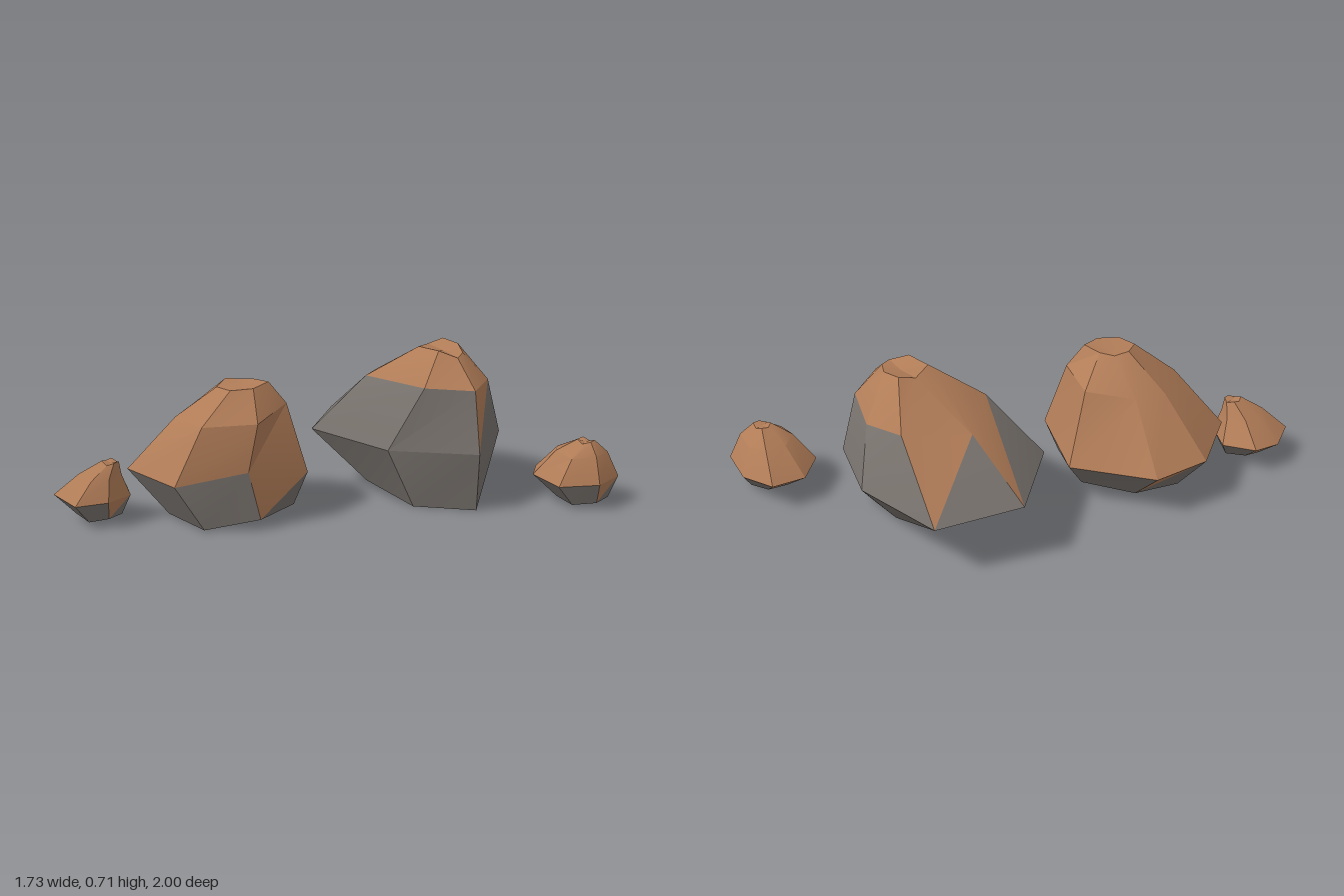
import * as THREE from 'three';
import { toCreasedNormals } from 'three/addons/utils/BufferGeometryUtils.js';

// Each quad between two rings is grey (g), orange (o) or half (h: upper triangle orange).
const LOWER = 'hgghggh', ORANGE = 'ooooooo', GREY = 'ggggggg';

const average = (ring) => [0, 1, 2].map((k) => ring.reduce((s, p) => s + p[k], 0) / ring.length);

// Ring made by shrinking an [x, z] outline towards a point, at height y
const shrink = (outline, [cx, cz], scale, y) =>
  outline.map(([x, z], i) => [cx + (x - cx) * scale, y + 0.008 * Math.sin(i * 2.3), cz + (z - cz) * scale]);

// Faceted rock from four seven-point rings, bottom to top
function makeRock(name, rings, paint, materials, dip) {
  const faces = { g: [], o: [] };
  const add = (colour, ...points) => points.forEach((p) => faces[colour].push(...p));
  const n = rings[0].length;
  const base = average(rings[0]);
  const crown = average(rings[3]);
  crown[1] -= dip;
  for (let i = 0; i < n; i++) {
    const j = (i + 1) % n;
    add('g', base, rings[0][i], rings[0][j]);
    add('o', crown, rings[3][j], rings[3][i]);
    for (let r = 0; r < 3; r++) {
      const [low, up, c] = [rings[r], rings[r + 1], paint[r][i]];
      add(c === 'o' ? 'o' : 'g', low[j], low[i], up[i]);
      add(c === 'g' ? 'g' : 'o', low[j], up[i], up[j]);
    }
  }
  const geometry = new THREE.BufferGeometry();
  geometry.setAttribute('position', new THREE.Float32BufferAttribute([...faces.g, ...faces.o], 3));
  const creased = toCreasedNormals(geometry, 0.4);
  creased.clearGroups();
  creased.addGroup(0, faces.g.length / 3, 0);
  creased.addGroup(faces.g.length / 3, faces.o.length / 3, 1);
  const mesh = new THREE.Mesh(creased, materials);
  mesh.name = name;
  return mesh;
}

export function createModel() {
  const grey = new THREE.MeshStandardMaterial({ color: 0x77716c });
  grey.name = 'stone grey';
  const orange = new THREE.MeshStandardMaterial({ color: 0xb27d58 });
  orange.name = 'rust orange';
  const materials = [grey, orange];
  const group = new THREE.Group();
  group.name = 'rocks';

  // Tall boulder at the back
  group.add(makeRock('largeBoulder', [
    [[-0.22, 0.04, -0.40], [-0.12, 0.03, -0.58], [0.08, 0.02, -0.65], [0.27, 0.01, -0.62],
      [0.45, 0, -0.42], [0.21, 0, -0.26], [-0.09, 0.05, -0.27]],
    [[-0.52, 0.28, -0.47], [-0.35, 0.26, -0.82], [0.01, 0.32, -0.89], [0.34, 0.29, -0.71],
      [0.485, 0.28, -0.39], [0.15, 0.28, -0.15], [-0.31, 0.29, -0.125]],
    [[-0.24, 0.52, -0.49], [-0.07, 0.55, -0.73], [0.11, 0.54, -0.76], [0.32, 0.55, -0.64],
      [0.41, 0.55, -0.44], [0.24, 0.56, -0.29], [-0.10, 0.56, -0.27]],
    [[0.05, 0.69, -0.53], [0.08, 0.71, -0.60], [0.17, 0.70, -0.60], [0.25, 0.68, -0.54],
      [0.27, 0.67, -0.48], [0.20, 0.70, -0.43], [0.08, 0.70, -0.43]],
  ], [GREY, LOWER, ORANGE], materials, 0.015));

  // Broad boulder at the front
  group.add(makeRock('mediumBoulder', [
    [[-0.66, 0.04, 0.38], [-0.58, 0.05, 0.18], [-0.36, 0.06, 0.07], [-0.10, 0.055, 0.20],
      [-0.07, 0.05, 0.43], [-0.24, 0.005, 0.61], [-0.49, 0.015, 0.60]],
    [[-0.80, 0.22, 0.39], [-0.73, 0.21, 0.14], [-0.39, 0.21, -0.05], [-0.05, 0.21, 0.16],
      [-0.10, 0.27, 0.47], [-0.30, 0.215, 0.72], [-0.65, 0.215, 0.70]],
    [[-0.56, 0.47, 0.38], [-0.51, 0.48, 0.24], [-0.34, 0.51, 0.10], [-0.14, 0.52, 0.20],
      [-0.09, 0.48, 0.42], [-0.25, 0.47, 0.60], [-0.46, 0.47, 0.57]],
    [[-0.37, 0.62, 0.35], [-0.34, 0.61, 0.29], [-0.28, 0.615, 0.26], [-0.19, 0.62, 0.26],
      [-0.18, 0.61, 0.36], [-0.24, 0.605, 0.44], [-0.33, 0.605, 0.44]],
  ], [LOWER, ORANGE, ORANGE], materials, 0.01));

  // Small stone at the front
  const front = [[-0.865, 0.85], [-0.83, 0.73], [-0.68, 0.68], [-0.57, 0.75],
    [-0.56, 0.88], [-0.64, 1.0], [-0.81, 0.99]];
  group.add(makeRock('frontStone', [
    shrink(front, [-0.62, 0.84], 0.6, 0.035),
    shrink(front, [0, 0], 1, 0.12),
    shrink(front, [-0.61, 0.82], 0.55, 0.22),
    shrink(front, [-0.60, 0.80], 0.22, 0.28),
  ], [LOWER, ORANGE, ORANGE], materials, 0.005));

  // Small stone at the back
  const back = [[0.48, -0.82], [0.52, -0.97], [0.69, -1.0], [0.85, -0.95],
    [0.86, -0.79], [0.73, -0.66], [0.56, -0.69]];
  group.add(makeRock('backStone', [
    shrink(back, [0.80, -0.83], 0.6, 0.03),
    shrink(back, [0, 0], 1, 0.125),
    shrink(back, [0.76, -0.84], 0.6, 0.245),
    shrink(back, [0.75, -0.84], 0.2, 0.30),
  ], [LOWER, ORANGE, ORANGE], materials, 0.005));

  return group;
}
